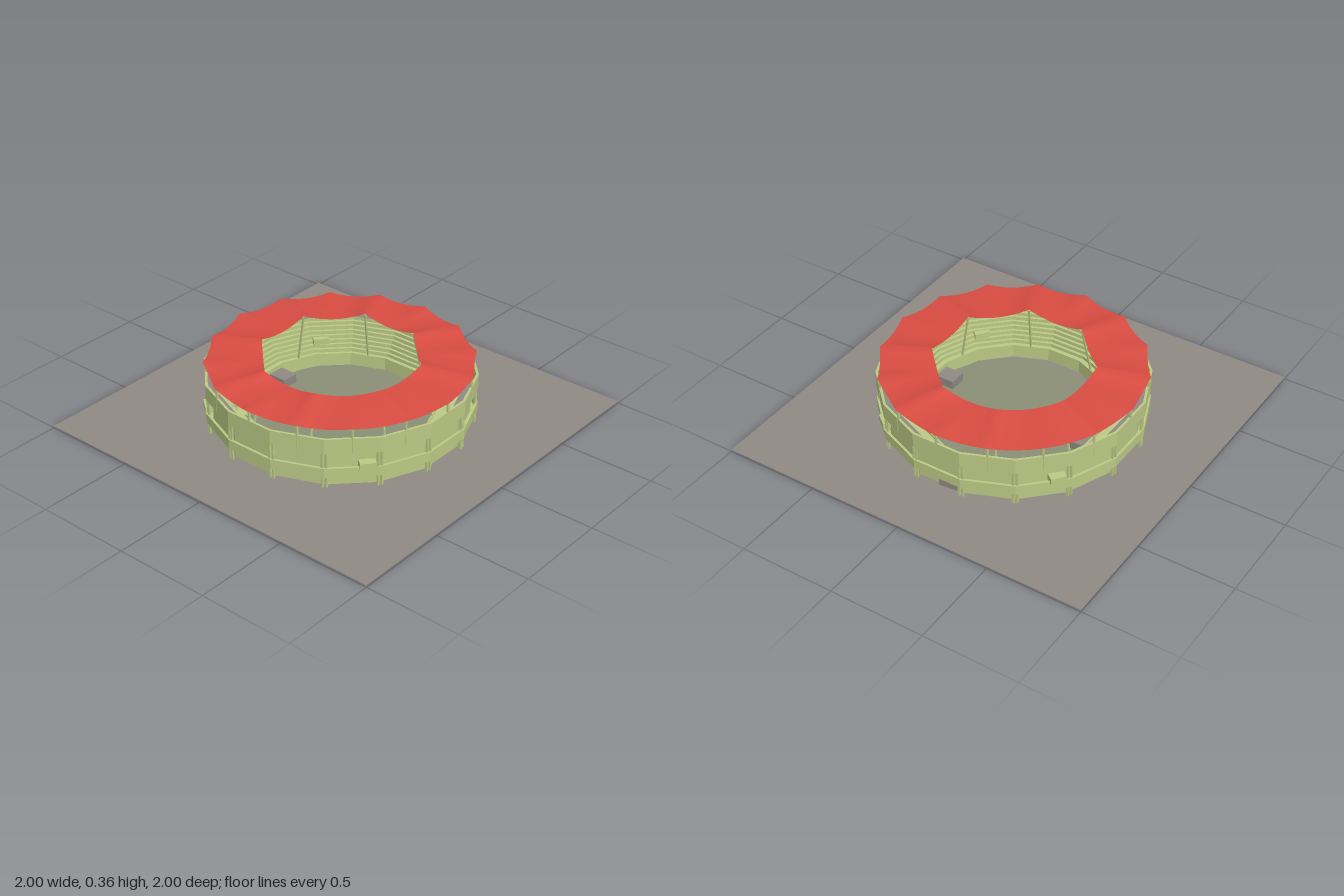
import * as THREE from 'three';

const CX = 0.01; // stadium axis
const N = 16;
const STEP = (Math.PI * 2) / N;

const mat = (color, flatShading = false) =>
  new THREE.MeshStandardMaterial({ color, flatShading, side: THREE.DoubleSide });
const green = mat(0xbcc985, true);
const red = mat(0xd84c42);
const grey = mat(0x8f8983);
const turf = mat(0x8a8f76);

const polar = (r, a, y) => new THREE.Vector3(CX + r * Math.sin(a), y, r * Math.cos(a));

function add(parent, name, geometry, material) {
  const mesh = new THREE.Mesh(geometry, material);
  mesh.name = name;
  parent.add(mesh);
  return mesh;
}

// Faceted ring turned from [radius, height] pairs
function ring(parent, name, profile, material = green) {
  const points = profile.map(([r, y]) => new THREE.Vector2(r, y));
  const mesh = add(parent, name, new THREE.LatheGeometry(points, N, STEP / 2), material);
  mesh.position.x = CX;
  return mesh;
}

// Square column between two points
function column(parent, name, from, to, width) {
  const length = from.distanceTo(to);
  const mesh = add(parent, name, new THREE.BoxGeometry(width, length, width), green);
  mesh.position.copy(from).lerp(to, 0.5);
  mesh.quaternion.setFromUnitVectors(new THREE.Vector3(0, 1, 0), to.clone().sub(from).normalize());
  return mesh;
}

// Radial box centred at radius r and angle a
function block(parent, name, r, a, y, [w, h, d], material) {
  const mesh = add(parent, name, new THREE.BoxGeometry(w, h, d), material);
  mesh.position.copy(polar(r, a, y));
  mesh.rotation.y = a;
  return mesh;
}

// Tent roof: scalloped 16-point outer edge, octagonal inner edge with raised corners
function roofGeometry() {
  const sub = 6, rows = 6, cols = N * sub;
  const positions = [], index = [];
  for (let j = 0; j <= rows; j++) {
    for (let i = 0; i < cols; i++) {
      const a = (i / sub) * STEP;
      const t = (i % sub) / sub;
      const sag = 4 * t * (1 - t);
      const polygon = Math.cos(STEP / 2) / Math.cos((t - 0.5) * STEP);
      const outer = polar(0.675 * polygon - 0.006 * sag, a, 0.336 - 0.015 * sag);
      const k = ((i + sub) % (2 * sub)) / (2 * sub);
      const octagon = Math.cos(STEP) / Math.cos((k - 0.5) * 2 * STEP);
      const inner = polar(0.41 * octagon, a, 0.36 - 0.024 * 4 * k * (1 - k));
      const p = outer.lerp(inner, j / rows);
      positions.push(p.x, p.y, p.z);
      if (j < rows) {
        const n = (i + 1) % cols;
        const A = j * cols + i, B = j * cols + n;
        index.push(A, B, B + cols, A, B + cols, A + cols);
      }
    }
  }
  const g = new THREE.BufferGeometry();
  g.setAttribute('position', new THREE.Float32BufferAttribute(positions, 3));
  g.setIndex(index);
  g.computeVertexNormals();
  return g;
}

export function createModel() {
  const model = new THREE.Group();
  model.name = 'stadium';

  // Site and arena floor
  const ground = add(model, 'ground', new THREE.PlaneGeometry(2, 2), grey);
  ground.rotation.x = -Math.PI / 2;
  ground.position.y = 0.011;
  const floor = add(model, 'arenaFloor', new THREE.CylinderGeometry(0.465, 0.465, 0.015, 64), turf);
  floor.position.set(0.035, 0.0075, 0.01);

  // Outer walls and projecting facade bands
  ring(model, 'outerWall', [[0.645, 0.011], [0.645, 0.21]]);
  const band = (name, y0, y1) =>
    ring(model, name, [[0.64, y0], [0.68, y0], [0.68, y1], [0.667, y1], [0.667, y0]]);
  band('lowerBand', 0.07, 0.12);
  band('upperBand', 0.2, 0.28);
  ring(model, 'galleryFloor', [[0.615, 0.225], [0.667, 0.225]], grey);

  // Arena barrier and stepped seating
  const tiers = [[0.475, 0.011], [0.475, 0.085], [0.485, 0.085], [0.485, 0.075]];
  const rows = 8;
  for (let i = 0; i < rows; i++) {
    const y = 0.075 + (i * 0.15) / rows;
    const r = 0.495 + ((i + 1) * 0.12) / rows;
    tiers.push([r, y], [r, y + 0.15 / rows]);
  }
  ring(model, 'seatingTiers', tiers);

  // Facade column pairs and roof supports
  const supports = new THREE.Group();
  supports.name = 'columns';
  model.add(supports);
  for (let i = 0; i < N; i++) {
    const a = i * STEP;
    for (const s of [-0.014, 0.014]) {
      const b = a + STEP / 2 + s;
      column(supports, 'facadeColumn', polar(0.667, b, 0.008), polar(0.667, b, 0.2), 0.011);
    }
    column(supports, 'outerRoofPost', polar(0.662, a, 0.2), polar(0.662, a, 0.334), 0.01);
    if (i % 2) column(supports, 'innerRoofPost', polar(0.478, a, 0.06), polar(0.41, a, 0.357), 0.008);
  }

  // Passages through the stands on the four diagonals
  for (let i = 0; i < 4; i++) {
    const a = 0.895 + (i * Math.PI) / 2;
    block(model, 'standPassage', 0.6, a, 0.127, [0.08, 0.035, 0.16], green);
  }

  // Player tunnels and ground-level gates
  for (const s of [-1, 1]) {
    const tunnel = add(model, 'tunnel', new THREE.BoxGeometry(0.09, 0.05, 0.11), grey);
    tunnel.position.set(CX - s * 0.035, 0.036, s * 0.42);
  }
  block(model, 'gate', 0.642, 0.48, 0.038, [0.07, 0.05, 0.012], grey);
  block(model, 'gate', 0.638, Math.PI / 2 + 0.09, 0.032, [0.12, 0.04, 0.012], grey);

  add(model, 'tentRoof', roofGeometry(), red);
  return model;
}
